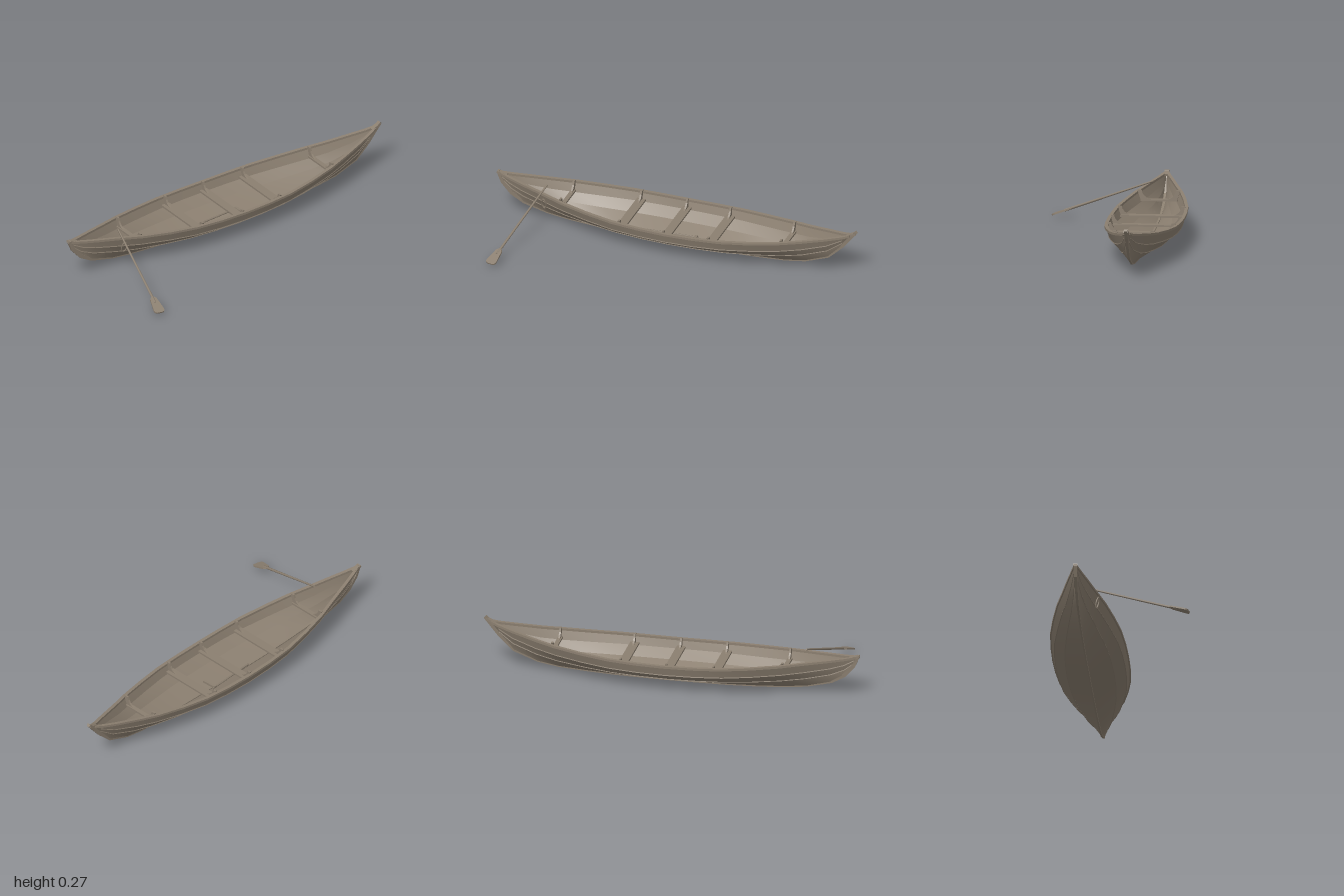
import * as THREE from 'three';

const CZ = -0.19; // the hull lies behind the origin, the oar reaches forward

// stations along the hull: x, keel height, sheer height, half beam
const STATIONS = [
  [-0.995, 0.215, 0.228, 0.004], [-0.97, 0.172, 0.224, 0.012], [-0.92, 0.115, 0.217, 0.028],
  [-0.85, 0.075, 0.21, 0.05], [-0.72, 0.042, 0.198, 0.088], [-0.6, 0.027, 0.186, 0.125],
  [-0.45, 0.017, 0.174, 0.158], [-0.3, 0.011, 0.165, 0.183], [-0.15, 0.009, 0.16, 0.193],
  [0, 0.008, 0.158, 0.196], [0.15, 0.009, 0.16, 0.193], [0.3, 0.011, 0.165, 0.183],
  [0.45, 0.017, 0.174, 0.158], [0.6, 0.027, 0.187, 0.125], [0.71, 0.045, 0.2, 0.092],
  [0.84, 0.094, 0.22, 0.053], [0.92, 0.172, 0.234, 0.026], [0.96, 0.222, 0.245, 0.012],
];
const lerp = THREE.MathUtils.lerp;

function stationAt(x) {
  let i = 0;
  while (i < STATIONS.length - 2 && STATIONS[i + 1][0] < x) i++;
  const a = STATIONS[i], b = STATIONS[i + 1], t = (x - a[0]) / (b[0] - a[0]);
  return a.map((v, k) => lerp(v, b[k], t));
}

// half section from sheer to keel as [halfWidth, y]; inset gives the inner skin
function section([x, keel, sheer, half], inset = 0) {
  const t = x * x, k = keel + inset * Math.min(1, half / 0.05), h = Math.max(half - inset, 0.001);
  return [
    [h, sheer],
    [h * lerp(0.92, 0.64, t), lerp(k, sheer, 0.64)],
    [h * lerp(0.63, 0.32, t), lerp(k, sheer, 0.35)],
    [Math.min(0.005, h), k],
  ];
}

// surface through rows of points, wrapped around when closed
function loft(rows, closed = false) {
  const n = rows[0].length, pos = rows.flat(2), idx = [];
  for (let i = 0; i < rows.length - 1; i++)
    for (let j = 0; j < (closed ? n : n - 1); j++) {
      const a = i * n + j, b = i * n + (j + 1) % n;
      idx.push(a, b, a + n, b, b + n, a + n);
    }
  if (closed) {
    const e = (rows.length - 1) * n;
    for (let j = 1; j < n - 1; j++) idx.push(0, j + 1, j, e, e + j, e + j + 1);
  }
  const g = new THREE.BufferGeometry();
  g.setAttribute('position', new THREE.Float32BufferAttribute(pos, 3));
  g.setIndex(idx);
  const out = closed ? g.toNonIndexed() : g;
  out.computeVertexNormals();
  return out;
}

export function createModel() {
  const wood = new THREE.MeshStandardMaterial({ color: 0x8b7f70, side: THREE.DoubleSide });
  wood.name = 'weatheredWood';
  const model = new THREE.Group();
  model.name = 'rowingBoat';
  const boat = new THREE.Group();
  boat.name = 'boat';
  boat.position.z = CZ;
  model.add(boat);
  const add = (parent, name, geo, x = 0, y = 0, z = 0) => {
    const m = new THREE.Mesh(geo, wood);
    m.name = name;
    m.position.set(x, y, z);
    parent.add(m);
    return m;
  };

  for (const s of [1, -1]) {
    const side = s > 0 ? 'front' : 'back';
    // planking: three strakes outside and inside, creased along the seams
    for (const [skin, inset, flip] of [['outer', 0, 1], ['inner', 0.009, -1]])
      for (let k = 0; k < 3; k++) {
        const rows = STATIONS.map((st) => {
          const row = section(st, inset).slice(k, k + 2).map(([w, y]) => [st[0], y, s * w]);
          return s * flip > 0 ? row : row.reverse();
        });
        add(boat, `${side}${skin}Strake${k + 1}`, loft(rows.map((r) => r.reverse())));
      }
    // rail capping the sheer
    add(boat, side + 'Gunwale', loft(STATIONS.map(([x, , y, h]) => {
      const o = s * (h + 0.004), i = s * Math.max(h - 0.014, 0), r = [
        [x, y + 0.003, o], [x, y + 0.003, i], [x, y - 0.009, i], [x, y - 0.009, o]];
      return s > 0 ? r.reverse() : r;
    }), true));
    // raised seam battens outside
    for (const k of [1, 2])
      add(boat, side + 'Seam' + k, loft(STATIONS.slice(1, -1).map((st) => {
        const [w, y] = section(st)[k];
        return [[st[0], y + 0.004, s * w], [st[0], y - 0.003, s * (w + 0.002)], [st[0], y - 0.004, s * (w - 0.003)]];
      }), true));
  }

  // keel running up into both stems
  const spine = [[-1, 0.23], ...STATIONS.map(([x, k]) => [x, k]), [1, 0.262]];
  add(boat, 'keelAndStems', loft(spine.map(([x, y], i) => {
    const a = spine[Math.max(i - 1, 0)], b = spine[Math.min(i + 1, spine.length - 1)];
    const l = Math.hypot(b[0] - a[0], b[1] - a[1]);
    const nx = (b[1] - a[1]) / l, ny = -(b[0] - a[0]) / l; // outward in profile
    const w = lerp(0.005, 0.011, x ** 6), o = Math.abs(x) > 0.99 ? 0 : 0.007, n = 0.014;
    return [[x + nx * o, y + ny * o, -w * 0.8], [x + nx * o, y + ny * o, w * 0.8],
      [x - nx * n, y - ny * n, w], [x - nx * n, y - ny * n, -w]];
  }), true));
  // stem heads
  for (const [x, y, a] of [[-0.972, 0.223, -0.22], [0.967, 0.248, 0.42]]) {
    add(boat, 'stemHead', new THREE.BoxGeometry(0.055, 0.012, 0.024), x, y, 0).rotation.z = a;
  }

  // thwarts with a knee at each end
  for (const [x, w] of [[-0.61, 0.024], [-0.26, 0.048], [-0.01, 0.046], [0.235, 0.048], [0.615, 0.024]]) {
    const st = stationAt(x), sec = section(st, 0.009);
    const y = lerp(sec[1][1], st[2], 0.2), half = lerp(sec[1][0], sec[0][0], 0.2);
    const seat = new THREE.Group();
    seat.name = 'thwart';
    seat.position.set(x, y, 0);
    boat.add(seat);
    add(seat, 'thwartBoard', new THREE.BoxGeometry(w, 0.01, half * 2));
    const rise = st[2] - y, knee = new THREE.Shape();
    knee.moveTo(0, 0);
    knee.lineTo(-0.05, 0);
    knee.quadraticCurveTo(-0.014, 0.008, -0.006, rise + 0.006);
    knee.lineTo(sec[0][0] - half, rise + 0.006);
    const kneeGeo = new THREE.ExtrudeGeometry(knee, { depth: 0.01, bevelEnabled: false, curveSegments: 4 });
    kneeGeo.translate(0, 0, -0.005);
    for (const s of [1, -1])
      add(seat, 'knee', kneeGeo, 0, 0.004, s * half).rotation.y = -s * Math.PI / 2;
  }

  // bailer lying on the bottom boards
  const bailer = new THREE.Group();
  bailer.name = 'bailer';
  bailer.position.set(-0.03, 0.04, -0.02);
  bailer.rotation.y = 0.06;
  boat.add(bailer);
  add(bailer, 'bailerHandle', new THREE.CylinderGeometry(0.005, 0.005, 0.28, 6)).rotation.z = Math.PI / 2;
  add(bailer, 'bailerHead', new THREE.BoxGeometry(0.014, 0.012, 0.08), 0.125, 0.003, 0.035);

  // rope loop holding the oar at the rail
  const loop = add(model, 'oarLoop', new THREE.TorusGeometry(0.022, 0.0035, 6, 16), -0.705, 0.142, CZ + 0.092);
  loop.scale.set(0.65, 1.4, 1);
  loop.rotation.set(0.25, -0.3, 0);

  // oar leaning out over the rail, local y running towards the blade
  const top = new THREE.Vector3(-0.708, 0.226, -0.15), tip = new THREE.Vector3(-0.823, 0.02, 0.388);
  const dir = tip.clone().sub(top), len = dir.length();
  dir.normalize();
  const across = new THREE.Vector3(0, 1, 0).cross(dir).normalize();
  const oar = new THREE.Group();
  oar.name = 'oar';
  oar.position.copy(top);
  oar.quaternion.setFromRotationMatrix(new THREE.Matrix4().makeBasis(across, dir, across.clone().cross(dir)));
  model.add(oar);
  add(oar, 'oarShaft', new THREE.CylinderGeometry(0.007, 0.005, len - 0.07, 8), 0, (len - 0.07) / 2, 0);
  const blade = new THREE.Shape();
  blade.moveTo(-0.007, -0.11);
  blade.lineTo(-0.018, -0.095);
  blade.lineTo(-0.029, -0.02);
  blade.quadraticCurveTo(-0.028, 0, -0.012, 0);
  blade.lineTo(0.012, 0);
  blade.quadraticCurveTo(0.028, 0, 0.029, -0.02);
  blade.lineTo(0.018, -0.095);
  blade.lineTo(0.007, -0.11);
  add(oar, 'oarBlade', new THREE.ExtrudeGeometry(blade, { depth: 0.008, bevelEnabled: false, curveSegments: 4 }), 0, len, -0.004);

  return model;
}
